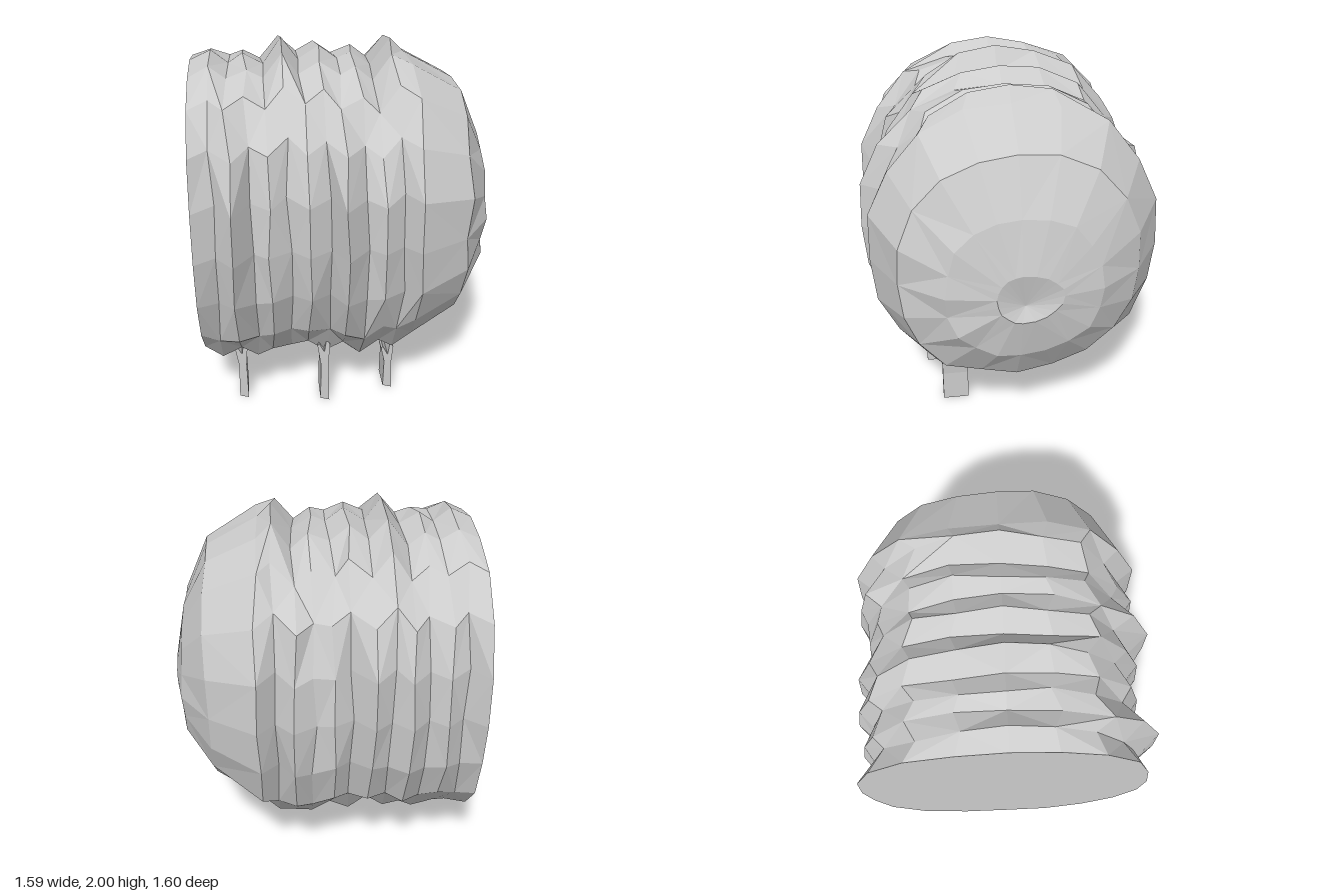
import * as THREE from 'three';

const SIDES = 20;
const CENTER_Y = 1.07;

// Cross-sections along the body: x, top y, bottom y, front z, back z, squareness
const SECTIONS = [
  [-0.80, 1.89, 0.29, 0.75, 0.78, 2.5], [-0.70, 1.94, 0.19, 0.68, 0.69, 2.4],
  [-0.61, 1.87, 0.29, 0.80, 0.77, 2.4], [-0.51, 1.92, 0.14, 0.66, 0.70, 2.4],
  [-0.42, 1.86, 0.25, 0.72, 0.80, 2.4], [-0.33, 2.00, 0.20, 0.65, 0.71, 2.4],
  [-0.23, 1.88, 0.29, 0.74, 0.79, 2.4], [-0.13, 1.95, 0.19, 0.66, 0.68, 2.4],
  [-0.04, 1.88, 0.25, 0.80, 0.74, 2.4], [0.06, 1.91, 0.14, 0.67, 0.73, 2.4],
  [0.15, 1.84, 0.23, 0.74, 0.80, 2.4], [0.25, 1.98, 0.20, 0.66, 0.70, 2.4],
  [0.34, 1.91, 0.30, 0.75, 0.80, 2.4], [0.60, 1.76, 0.46, 0.61, 0.64, 2.5],
  [0.74, 1.48, 0.68, 0.38, 0.42, 2.3], [0.79, 1.20, 0.92, 0.13, 0.21, 2],
];

// Small seeded generator for the rough facets
function makeRandom(seed) {
  let s = seed;
  return () => (s = (s * 16807) % 2147483647) / 2147483647;
}

function bodyGeometry() {
  const random = makeRandom(77);
  const positions = [], index = [];
  const last = SECTIONS.length - 1;
  SECTIONS.forEach(([x, top, bottom, front, back, n], r) => {
    for (let i = 0; i < SIDES; i++) {
      const a = (i / SIDES) * Math.PI * 2;
      const c = Math.cos(a), s = Math.sin(a);
      // squarish oval, roughened most between the four extremes
      const round = (Math.abs(c) ** n + Math.abs(s) ** n) ** (-1 / n);
      const k = round * (1 + (random() - 0.6) * 0.07 * Math.abs(Math.sin(2 * a)));
      const shift = r === 0 || r === last ? 0 : (random() - 0.5) * 0.03;
      positions.push(
        x + shift,
        CENTER_Y + c * k * (c > 0 ? top - CENTER_Y : CENTER_Y - bottom),
        s * k * (s > 0 ? front : back));
    }
  });
  for (let r = 0; r < last; r++) {
    for (let i = 0; i < SIDES; i++) {
      const j = (i + 1) % SIDES;
      const a = r * SIDES + i, b = r * SIDES + j, c = a + SIDES, d = b + SIDES;
      if ((r + i) % 2) index.push(a, b, c, b, d, c);
      else index.push(a, b, d, a, d, c);
    }
  }
  // flat cut end and dimpled nose
  const cut = positions.length / 3;
  positions.push(-0.8, CENTER_Y, 0, 0.75, 1.0, -0.02);
  for (let i = 0; i < SIDES; i++) {
    const j = (i + 1) % SIDES;
    index.push(cut, j, i, cut + 1, last * SIDES + i, last * SIDES + j);
  }
  const g = new THREE.BufferGeometry();
  g.setAttribute('position', new THREE.Float32BufferAttribute(positions, 3));
  g.setIndex(index);
  const flat = g.toNonIndexed();
  flat.computeVertexNormals();
  return flat;
}

// Thin blade leg with a forked top, extruded front to back
function legGeometry(height) {
  const shape = new THREE.Shape([
    [-0.025, 0.015], [0.025, 0], [0.022, height * 0.6], [0.032, height - 0.03],
    [0.012, height], [0, height - 0.08], [-0.03, height - 0.02],
    [-0.038, height - 0.04], [-0.02, height * 0.6],
  ].map(([x, y]) => new THREE.Vector2(x, y)));
  return new THREE.ExtrudeGeometry(shape, { depth: 0.15, bevelEnabled: false });
}

export function createModel() {
  const group = new THREE.Group();
  const grey = new THREE.MeshStandardMaterial({ color: 0xcccccc });
  grey.name = 'light grey';
  grey.flatShading = true;

  const body = new THREE.Mesh(bodyGeometry(), grey);
  body.name = 'ridgedBody';
  group.add(body);

  // Three legs under the front edge, the middle one set further forward
  [[-0.605, 0.38, 0.25], [-0.145, 0.41, 0.32], [0.228, 0.31, 0.24]].forEach(([x, height, z], i) => {
    const leg = new THREE.Mesh(legGeometry(height), grey);
    leg.name = `leg${i + 1}`;
    leg.position.set(x, 0, z);
    group.add(leg);
  });
  return group;
}
